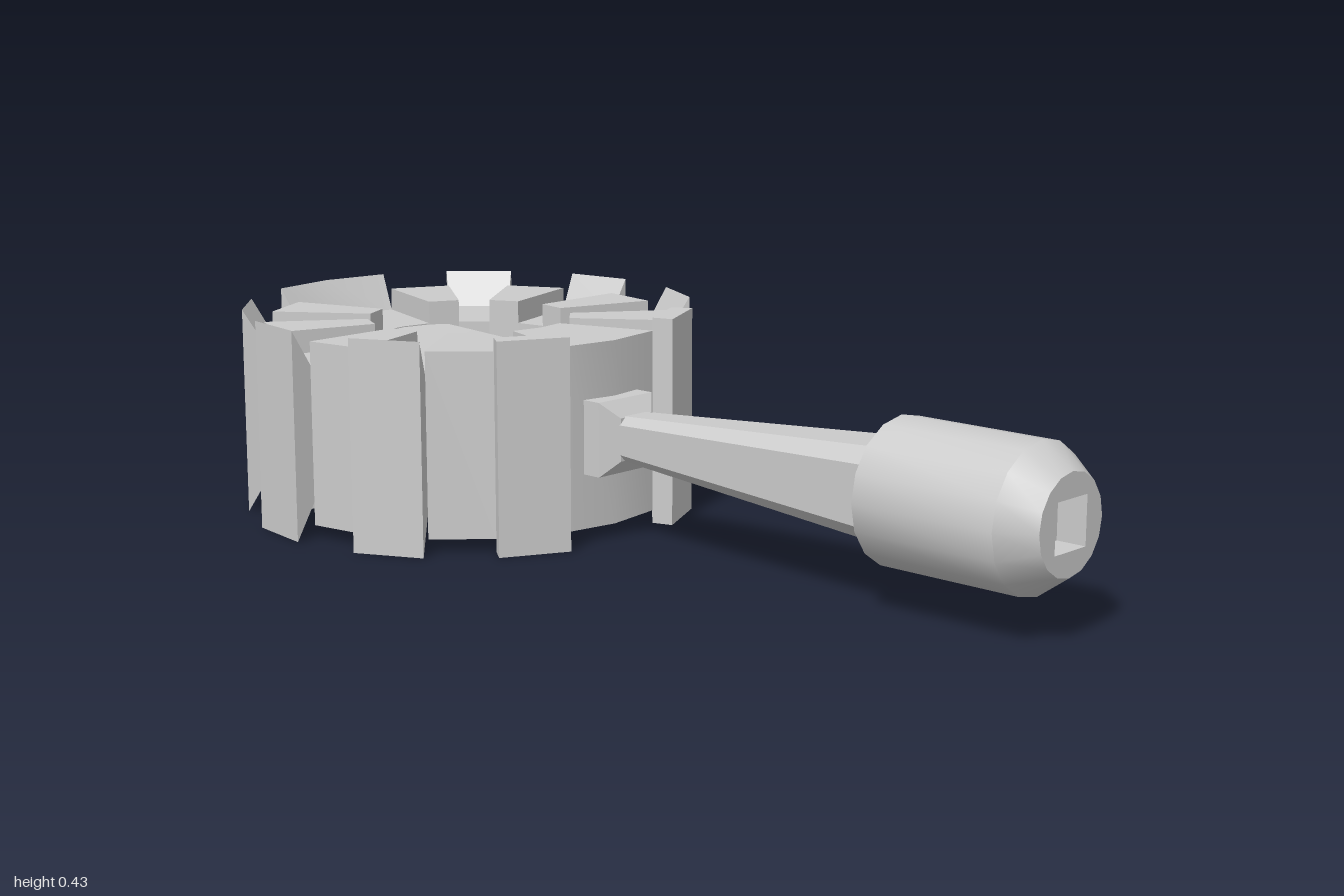
import * as THREE from 'three';
import { toCreasedNormals } from 'three/addons/utils/BufferGeometryUtils.js';

const MID = 0.216; // mid height: everything mirrors about this plane
const RING_Z = -0.525;
const material = new THREE.MeshStandardMaterial({ color: 0xcccccc });

// Closed solid through equal-length loops of points; contour (2D) is used to fill both ends.
function loft(sections, contour) {
  const n = contour.length, last = (sections.length - 1) * n;
  const index = [];
  for (let i = 0; i < sections.length - 1; i++) {
    for (let j = 0; j < n; j++) {
      const k = (j + 1) % n;
      const a = i * n + j, b = i * n + k, c = b + n, d = a + n;
      index.push(a, b, c, a, c, d);
    }
  }
  for (const [a, b, c] of THREE.ShapeUtils.triangulateShape(contour, [])) {
    index.push(c, b, a, last + a, last + b, last + c);
  }
  const geometry = new THREE.BufferGeometry().setFromPoints(sections.flat());
  geometry.setIndex(index);
  return toCreasedNormals(geometry, 0.6);
}

// Ring sector between two angles (degrees from the back); top lists [radius, y] from outside to inside.
function sector(from, to, top) {
  const bottom = top.map(([r, y]) => [r, 2 * MID - y]).reverse();
  const contour = [...bottom, ...top].map(([r, y]) => new THREE.Vector2(r, y));
  const steps = Math.max(1, Math.round((to - from) / 18));
  const sections = [];
  for (let i = 0; i <= steps; i++) {
    const t = THREE.MathUtils.degToRad(from + (to - from) * i / steps);
    sections.push(contour.map(p => new THREE.Vector3(p.x * Math.sin(t), p.y, RING_Z - p.x * Math.cos(t))));
  }
  return loft(sections, contour);
}

// Solid along z; each section is [z, outline], outline being a list of [x, y].
function alongZ(sections) {
  const contour = sections[0][1].map(([x, y]) => new THREE.Vector2(x, y));
  return loft(sections.map(([z, pts]) => pts.map(([x, y]) => new THREE.Vector3(x, y + MID, z))), contour);
}

const circle = (r, n = 16) => Array.from({ length: n }, (_, i) => {
  const a = i / n * Math.PI * 2;
  return [r * Math.cos(a), r * Math.sin(a)];
});
const square = (h, n = 16) => circle(1, n).map(([x, y]) => {
  const s = h / Math.max(Math.abs(x), Math.abs(y));
  return [x * s, y * s];
});
// Square with cut corners
const chamfered = (h, f) => [[h, -f], [h, f], [f, h], [-f, h], [-h, f], [-h, -f], [-f, -h], [f, -h]];

export function createModel() {
  const model = new THREE.Group();
  const add = (parent, name, geometry) => {
    const mesh = new THREE.Mesh(geometry, material);
    mesh.name = name;
    parent.add(mesh);
  };

  // Ring head: flat raised bars alternating with flared outer plates
  const ring = new THREE.Group();
  ring.name = 'ringHead';
  model.add(ring);
  const bar = [[0.43, 0.405], [0.215, 0.405]];
  const flared = [[0.475, 0.432], [0.43, 0.357], [0.215, 0.357]];
  const stepped = [[0.475, 0.432], [0.43, 0.432], [0.425, 0.357], [0.215, 0.357]];
  add(ring, 'backPlate', sector(-18, 18, flared));
  add(ring, 'frontBar', sector(162, 198, bar));
  for (let i = 0; i < 4; i++) {
    const a = 18 + i * 36;
    const plate = i === 3 ? stepped : flared;
    add(ring, 'leftBar', sector(a, a + 18, bar));
    add(ring, 'rightBar', sector(-a - 18, -a, bar));
    add(ring, 'leftPlate', sector(a + 18, a + 36, plate));
    add(ring, 'rightPlate', sector(-a - 36, -a - 18, plate));
  }

  // Core bridging the ring's hole from back to front, widest in the middle
  const block = (w, h) => [[w, -h], [w, h], [0, h], [-w, h], [-w, -h], [0, -h]];
  add(model, 'core', alongZ([
    [RING_Z - 0.23, block(0.095, 0.14)],
    [RING_Z - 0.18, block(0.105, 0.137)],
    [RING_Z, block(0.14, 0.118)],
    [RING_Z + 0.18, block(0.105, 0.137)],
    [RING_Z + 0.23, block(0.095, 0.14)],
  ]));

  // Collar where the handle meets the ring
  add(model, 'collar', alongZ([
    [-0.14, square(0.076, 8)], [-0.065, square(0.076, 8)], [-0.035, square(0.044, 8)],
  ]));

  // Tapered shaft with cut corners
  add(model, 'shaft', alongZ([
    [-0.04, chamfered(0.046, 0.03)], [0.64, chamfered(0.09, 0.06)],
  ]));

  // Round grip with a bevelled end and a square socket
  add(model, 'grip', alongZ([
    [0.63, circle(0.141)], [0.935, circle(0.141)], [1, circle(0.095)],
    [1, square(0.047)], [0.94, square(0.047)],
  ]));

  return model;
}
